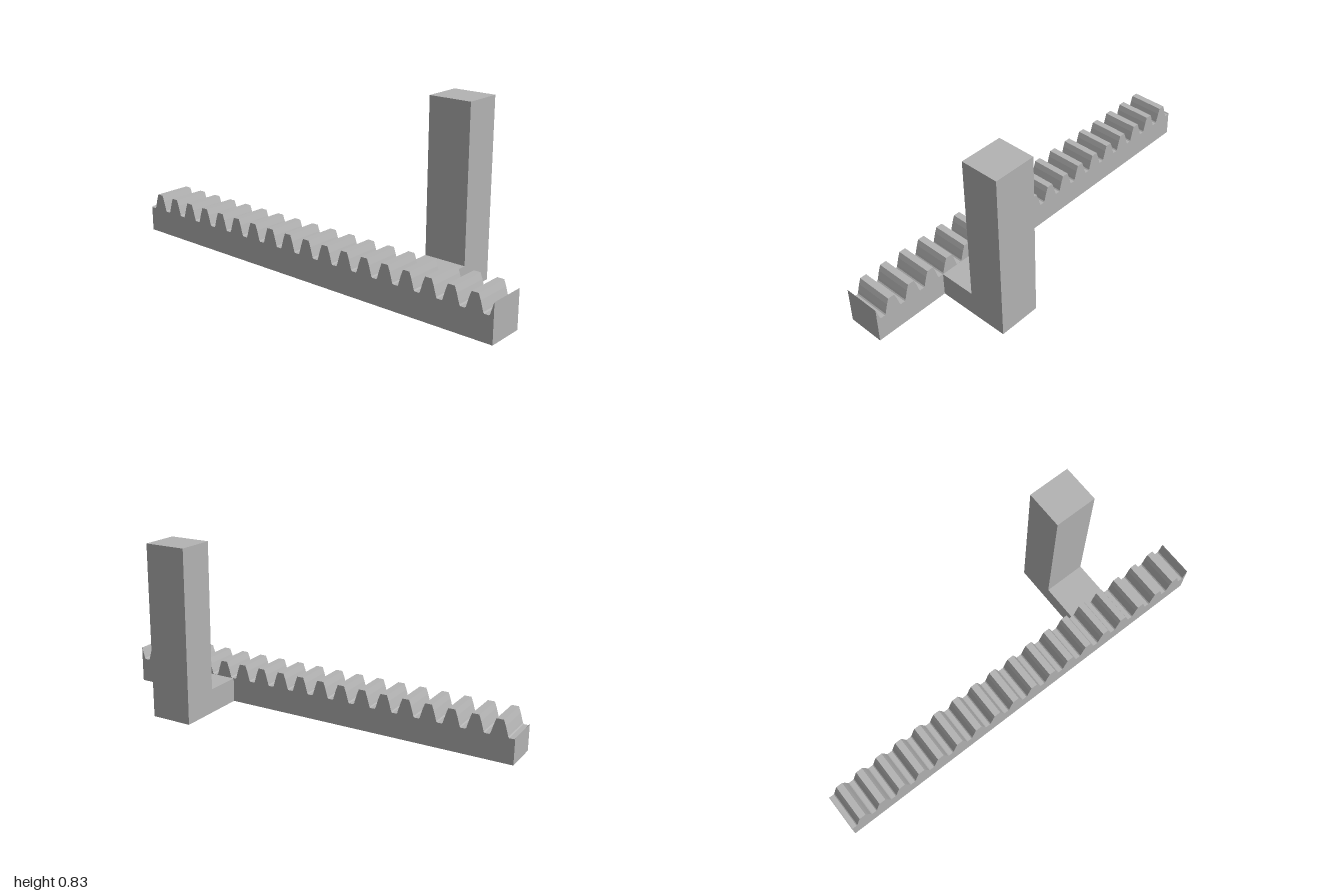
import * as THREE from 'three';

const PITCH = 0.1085, FIRST = 1.0225, ROOT = 0.118, TIP = 0.195;
// Half tooth outline: distance from the tooth centre, height
const FLANK = [[0.016, TIP], [0.026, 0.168], [0.036, 0.134], [0.039, 0.123], [0.0435, ROOT]];

// Height of the rack's upper edge at a distance from a tooth centre
function flankHeight(d) {
  if (d <= FLANK[0][0]) return TIP;
  for (let i = 1; i < FLANK.length; i++) {
    const [d0, h0] = FLANK[i - 1], [d1, h1] = FLANK[i];
    if (d <= d1) return h0 + (h1 - h0) * (d - d0) / (d1 - d0);
  }
  return ROOT;
}

// Side outline of the rack, with the end teeth cut off at both ends
function rackShape() {
  const half = [...FLANK].reverse().map(([d, h]) => [-d, h]).concat(FLANK);
  const edge = [];
  for (let i = 0; i < 20; i++) {
    const centre = FIRST - i * PITCH;
    for (const [d, h] of half) {
      const z = centre + d * -1;
      if (Math.abs(z) < 0.9999) edge.push([z, h]);
    }
  }
  const points = [
    [-1, 0], [1, 0],
    [1, flankHeight(Math.abs(FIRST - 1))],
    ...edge,
    [-1, flankHeight(Math.abs(FIRST - 19 * PITCH + 1))],
  ];
  return new THREE.Shape(points.map(([z, y]) => new THREE.Vector2(z, y)));
}

export function createModel() {
  const group = new THREE.Group();
  const grey = new THREE.MeshStandardMaterial({ color: 0xb3b3b3, flatShading: true });
  grey.name = 'plain grey';

  const add = (name, geometry) => {
    const mesh = new THREE.Mesh(geometry, grey);
    mesh.name = name;
    group.add(mesh);
  };

  // Toothed rack along z
  const rack = new THREE.ExtrudeGeometry(rackShape(), { depth: 0.18, bevelEnabled: false });
  rack.rotateY(-Math.PI / 2).translate(-0.09, 0, 0);
  add('toothedRack', rack);

  // L-shaped bracket: low arm and upright post in one piece
  const outline = [[-0.09, 0], [0.27, 0], [0.27, 0.828], [0.087, 0.828], [0.087, 0.117], [-0.09, 0.117]];
  const bracket = new THREE.ExtrudeGeometry(
    new THREE.Shape(outline.map(([x, y]) => new THREE.Vector2(x, y))),
    { depth: 0.204, bevelEnabled: false });
  bracket.translate(0, 0, 0.426);
  add('armAndPost', bracket);

  return group;
}
